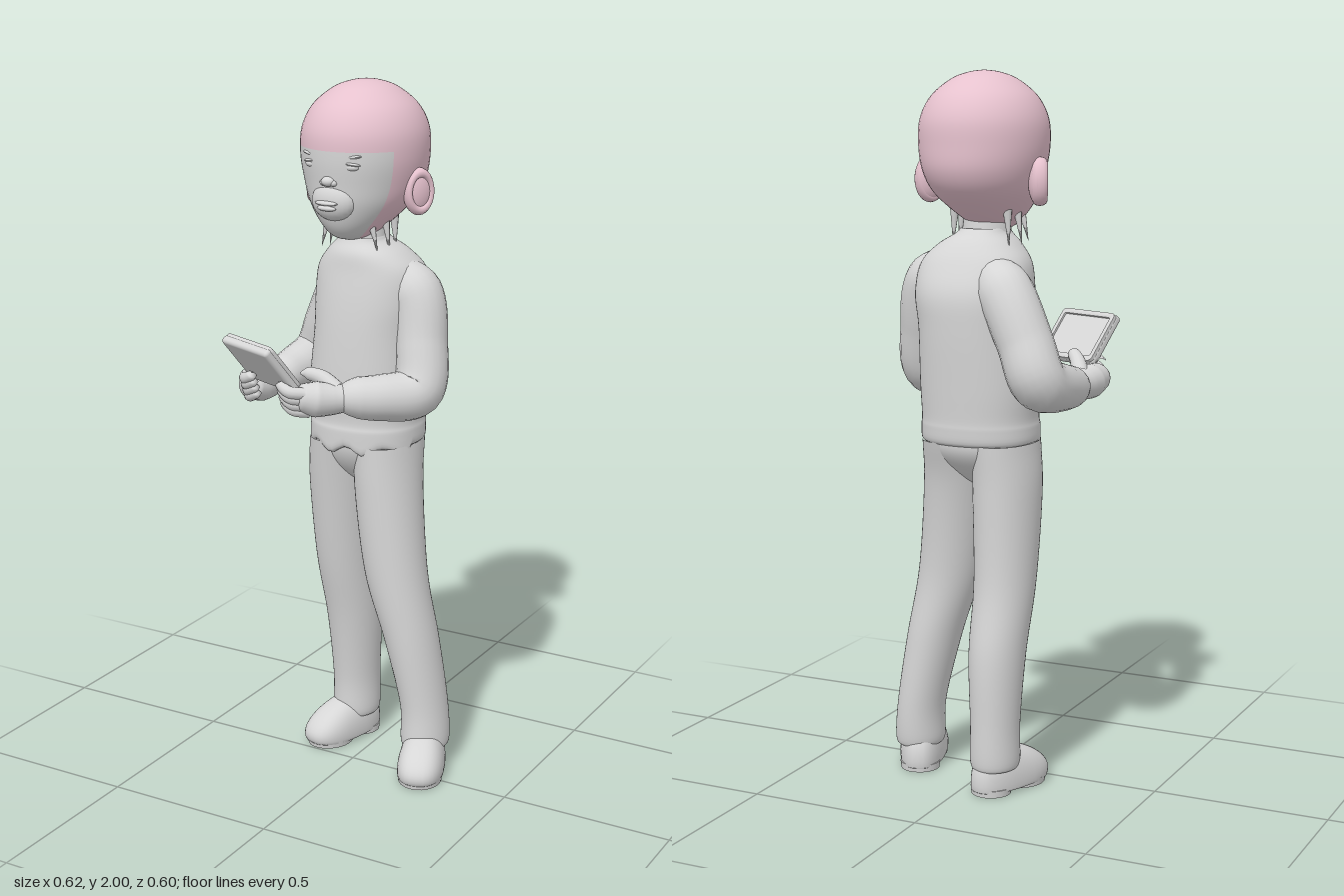
import * as THREE from 'three';
import { mergeVertices, toCreasedNormals } from 'three/addons/utils/BufferGeometryUtils.js';
import { RoundedBoxGeometry } from 'three/addons/geometries/RoundedBoxGeometry.js';

const V = (x, y, z) => new THREE.Vector3(x, y, z);

function material(name, color) {
  const m = new THREE.MeshStandardMaterial({ color });
  m.name = name;
  return m;
}

function add(parent, name, geometry, mat) {
  const mesh = new THREE.Mesh(geometry, mat);
  mesh.name = name;
  parent.add(mesh);
  return mesh;
}

function smooth(g) {
  g.deleteAttribute('uv');
  g.deleteAttribute('normal');
  const merged = mergeVertices(g, 1e-5);
  merged.computeVertexNormals();
  return merged;
}

// Rows run upward: [y, centre x, centre z, radius x, radius z].
// second(y, angle) picks the faces that take the second material.
function loft(rows, steps = 40, sides = 48, power = 1, second = null) {
  const centres = new THREE.CatmullRomCurve3(rows.map(r => V(r[1], r[0], r[2])), false, 'catmullrom', 0.5);
  const radii = new THREE.CatmullRomCurve3(rows.map(r => V(r[3], 0, r[4])), false, 'catmullrom', 0.5);
  const pos = [], lists = [[], []];
  const bend = v => Math.sign(v) * Math.abs(v) ** power;
  for (let i = 0; i <= steps; i++) {
    const c = centres.getPoint(i / steps), r = radii.getPoint(i / steps);
    for (let j = 0; j < sides; j++) {
      const a = j / sides * Math.PI * 2;
      pos.push(c.x + r.x * bend(Math.cos(a)), c.y, c.z + r.z * bend(Math.sin(a)));
      if (i === steps) continue;
      const k = (j + 1) % sides, p = i * sides, q = p + sides;
      const mid = (c.y + centres.getPoint((i + 1) / steps).y) / 2;
      const list = lists[second && second(mid, (j + 0.5) / sides * 360) ? 1 : 0];
      list.push(p + j, q + j, p + k, p + k, q + j, q + k);
    }
  }
  const g = new THREE.BufferGeometry();
  g.setAttribute('position', new THREE.Float32BufferAttribute(pos, 3));
  g.setIndex([...lists[0], ...lists[1]]);
  if (second) {
    g.addGroup(0, lists[0].length, 0);
    g.addGroup(lists[0].length, lists[1].length, 1);
  }
  g.computeVertexNormals();
  return g;
}

// Tapered tube through points [x, y, z, radius]
function limb(points, steps = 32, sides = 20) {
  const curve = new THREE.CatmullRomCurve3(points.map(p => V(p[0], p[1], p[2])));
  const g = new THREE.TubeGeometry(curve, steps, 1, sides);
  const pos = g.attributes.position, v = V(0, 0, 0);
  for (let i = 0; i <= steps; i++) {
    const c = curve.getPointAt(i / steps);
    const t = curve.getUtoTmapping(i / steps) * (points.length - 1);
    const k = Math.min(Math.floor(t), points.length - 2);
    const r = THREE.MathUtils.lerp(points[k][3], points[k + 1][3], t - k);
    for (let j = 0; j <= sides; j++) {
      const n = i * (sides + 1) + j;
      v.fromBufferAttribute(pos, n).sub(c).multiplyScalar(r).add(c);
      pos.setXYZ(n, v.x, v.y, v.z);
    }
  }
  return smooth(g);
}

function blob(parent, name, mat, p, s) {
  const m = add(parent, name, new THREE.SphereGeometry(1, 24, 16), mat);
  m.position.set(...p);
  m.scale.set(...s);
  return m;
}

function roundRect(Type, w, h, r) {
  const s = new Type(), x = w / 2, y = h / 2;
  s.moveTo(-x + r, -y).lineTo(x - r, -y).quadraticCurveTo(x, -y, x, -y + r);
  s.lineTo(x, y - r).quadraticCurveTo(x, y, x - r, y).lineTo(-x + r, y);
  s.quadraticCurveTo(-x, y, -x, y - r).lineTo(-x, -y + r).quadraticCurveTo(-x, -y, -x + r, -y);
  return s;
}

export function createModel() {
  const gray = material('soft gray', 0xd6d6d6), pink = material('dusty pink', 0xe6c2ce);
  const model = new THREE.Group();
  model.name = 'standingChild';

  // Head: pink skull with a gray face set into the front
  const head = new THREE.Group();
  head.name = 'head';
  head.position.set(-0.02, 0, -0.105);
  head.rotation.y = -0.07;
  model.add(head);
  add(head, 'skullAndFace', loft([
    [1.565, 0, 0.05, 0.005, 0.005], [1.575, 0, 0.06, 0.045, 0.06], [1.61, 0, 0.045, 0.088, 0.112],
    [1.67, 0, 0.015, 0.138, 0.162], [1.73, 0, 0, 0.163, 0.184], [1.8, 0, 0, 0.176, 0.19],
    [1.87, 0, 0, 0.172, 0.185], [1.93, 0, 0, 0.143, 0.153], [1.975, 0, 0, 0.09, 0.097],
    [1.994, 0, 0, 0.042, 0.046], [2, 0, 0, 0.001, 0.001],
  ], 60, 48, 1, (y, a) => y < 1.822 && a > 30 && a < 150), [pink, gray]);
  blob(head, 'muzzle', gray, [0, 1.685, 0.155], [0.068, 0.055, 0.042]);
  blob(head, 'upperLip', gray, [0, 1.684, 0.194], [0.036, 0.007, 0.013]);
  blob(head, 'lowerLip', gray, [0, 1.67, 0.192], [0.03, 0.008, 0.013]);
  blob(head, 'nose', gray, [0, 1.742, 0.184], [0.02, 0.014, 0.017]);
  for (const s of [-1, 1]) {
    blob(head, 'nostril', gray, [s * 0.016, 1.738, 0.182], [0.011, 0.009, 0.011]);
    blob(head, 'eye', gray, [s * 0.06, 1.783, 0.164], [0.026, 0.011, 0.015]);
    blob(head, 'eyelid', gray, [s * 0.06, 1.793, 0.163], [0.031, 0.006, 0.018]).rotation.z = -s * 0.12;
    blob(head, 'brow', gray, [s * 0.06, 1.81, 0.164], [0.034, 0.006, 0.014]).rotation.z = s * 0.12;
    // Ears, cupped forward
    const ear = new THREE.Group();
    ear.name = 'ear';
    ear.position.set(s * 0.172, 1.705, -0.002);
    ear.rotation.y = s * (Math.PI / 2 - 0.5);
    head.add(ear);
    blob(ear, 'earBowl', pink, [0, 0, -0.006], [0.044, 0.062, 0.026]);
    add(ear, 'earRim', new THREE.TorusGeometry(0.036, 0.011, 12, 32), pink).scale.set(0.95, 1.4, 1.9);
    // Loose hair ends at the nape
    [[0.08, 0.08], [0.092, 0.03], [0.085, -0.02]].forEach(([x, z], i) => {
      const wisp = add(head, 'hairWisp', new THREE.ConeGeometry(0.014, 0.11, 8), gray);
      wisp.position.set(s * x, 1.588 - i * 0.005, z);
      wisp.rotation.z = Math.PI + s * (0.25 - i * 0.1);
    });
  }
  const neck = add(model, 'neck', new THREE.CylinderGeometry(0.06, 0.075, 0.12, 32), gray);
  neck.position.set(-0.015, 1.57, -0.08);

  // Sweater with a wavy front hem
  const sweater = loft([
    [0.985, -0.005, -0.097, 0.13, 0.11], [0.99, -0.005, -0.097, 0.162, 0.143], [1.03, -0.005, -0.098, 0.165, 0.149],
    [1.06, -0.005, -0.1, 0.162, 0.147], [1.15, -0.005, -0.1, 0.166, 0.153], [1.3, 0, -0.108, 0.16, 0.154],
    [1.4, 0.005, -0.112, 0.165, 0.148], [1.48, 0.005, -0.102, 0.155, 0.125], [1.53, 0, -0.09, 0.115, 0.105],
    [1.56, -0.01, -0.085, 0.075, 0.083], [1.575, -0.012, -0.082, 0.065, 0.072],
  ], 50, 64, 0.9);
  const sp = sweater.attributes.position;
  for (let i = 0; i < sp.count; i++) {
    if (sp.getY(i) < 1.02 && sp.getZ(i) > -0.05) sp.setY(i, sp.getY(i) - 0.012 * (1 - Math.cos(sp.getX(i) * 60)));
  }
  sweater.computeVertexNormals();
  add(model, 'sweater', sweater, gray);

  // Trousers
  add(model, 'trouserSeat', loft([
    [0.86, -0.008, -0.09, 0.01, 0.02], [0.875, -0.008, -0.09, 0.06, 0.06], [0.92, -0.01, -0.095, 0.13, 0.105],
    [0.97, -0.008, -0.1, 0.16, 0.132], [1.03, -0.005, -0.1, 0.155, 0.135],
  ], 24, 48), gray);
  add(model, 'leftTrouserLeg', loft([
    [0.07, 0.203, -0.075, 0.05, 0.06], [0.085, 0.203, -0.075, 0.069, 0.08], [0.2, 0.195, -0.08, 0.067, 0.082],
    [0.4, 0.157, -0.07, 0.077, 0.09], [0.6, 0.11, -0.06, 0.09, 0.095], [0.85, 0.078, -0.072, 0.094, 0.113],
    [0.99, 0.07, -0.092, 0.088, 0.133],
  ]), gray);
  add(model, 'rightTrouserLeg', loft([
    [0.07, -0.088, -0.18, 0.05, 0.06], [0.085, -0.088, -0.18, 0.068, 0.078], [0.2, -0.088, -0.18, 0.068, 0.08],
    [0.4, -0.088, -0.165, 0.078, 0.093], [0.6, -0.095, -0.13, 0.085, 0.1], [0.85, -0.092, -0.108, 0.092, 0.12],
    [0.99, -0.085, -0.1, 0.085, 0.135],
  ]), gray);

  // Shoes: low toe, higher instep, flat sole and separate heel
  for (const [name, x, z, yaw] of [['leftShoe', 0.218, -0.03, 0.35], ['rightShoe', -0.106, -0.128, -0.3]]) {
    const shoe = new THREE.Group();
    shoe.name = name;
    shoe.position.set(x, 0.012, z);
    shoe.rotation.y = yaw;
    model.add(shoe);
    const g = new THREE.SphereGeometry(1, 32, 24), p = g.attributes.position;
    for (let i = 0; i < p.count; i++) {
      const b = v => Math.sign(v) * Math.abs(v) ** 0.8;
      const t = b(p.getZ(i)), top = 0.095 - 0.035 * t;
      p.setXYZ(i, b(p.getX(i)) * (0.067 + 0.007 * t), Math.max(0, p.getY(i) * top + 0.02), t * 0.136);
    }
    add(shoe, 'shoeUpper', smooth(g), gray);
    const heel = add(shoe, 'heel', new THREE.CylinderGeometry(0.058, 0.056, 0.02, 28), gray);
    heel.position.set(0, -0.002, -0.074);
    const sole = add(shoe, 'sole', new THREE.CylinderGeometry(0.066, 0.063, 0.02, 28), gray);
    sole.position.set(0, -0.002, 0.053);
    sole.scale.z = 1.15;
  }

  // Sleeves, bent at the elbow
  add(model, 'leftSleeve', limb([
    [0.06, 1.465, -0.09, 0.06], [0.145, 1.425, -0.09, 0.077], [0.182, 1.29, -0.065, 0.073], [0.192, 1.165, -0.02, 0.074],
    [0.12, 1.155, 0.07, 0.064], [0.075, 1.158, 0.108, 0.058], [0.05, 1.158, 0.128, 0.046], [0.035, 1.158, 0.14, 0.03],
  ], 48), gray);
  add(model, 'rightSleeve', limb([
    [-0.04, 1.46, -0.13, 0.06], [-0.115, 1.41, -0.18, 0.08], [-0.19, 1.28, -0.208, 0.077], [-0.232, 1.18, -0.214, 0.078],
    [-0.25, 1.15, -0.11, 0.066], [-0.254, 1.143, -0.04, 0.057], [-0.256, 1.142, -0.015, 0.046], [-0.256, 1.142, 0.005, 0.03],
  ], 48), gray);

  // Hands: palm tube, four curled fingers, thumb
  const hands = [
    ['leftHand', [[0.06, 1.158, 0.12, 0.035], [0.02, 1.157, 0.15, 0.044], [-0.015, 1.16, 0.183, 0.05], [-0.045, 1.168, 0.21, 0.038], [-0.062, 1.17, 0.222, 0.002]],
      [-0.025, 0.195], [-0.1, 0.205], [[0.03, 1.18, 0.14, 0.025], [-0.02, 1.208, 0.135, 0.022], [-0.06, 1.218, 0.145, 0.018], [-0.08, 1.218, 0.155, 0.002]]],
    ['rightHand', [[-0.255, 1.142, -0.03, 0.035], [-0.258, 1.14, 0.03, 0.044], [-0.26, 1.143, 0.075, 0.049], [-0.265, 1.15, 0.12, 0.04], [-0.262, 1.155, 0.15, 0.002]],
      [-0.27, 0.11], [-0.215, 0.165], [[-0.25, 1.165, 0.03, 0.025], [-0.225, 1.195, 0.07, 0.022], [-0.2, 1.213, 0.1, 0.018], [-0.19, 1.218, 0.115, 0.002]]],
  ];
  for (const [name, palm, from, to, thumb] of hands) {
    const hand = new THREE.Group();
    hand.name = name;
    model.add(hand);
    add(hand, 'palm', limb(palm), gray);
    add(hand, 'thumb', limb(thumb, 20, 14), gray);
    for (let i = 0; i < 4; i++) {
      const y = 1.125 + i * 0.019, dz = i * 0.008;
      add(hand, 'finger', limb([
        [from[0], y, from[1] + dz, 0.017], [(from[0] + to[0]) / 2, y + 0.006, (from[1] + to[1]) / 2 + dz + 0.018, 0.017],
        [to[0], y + 0.022, to[1] + dz, 0.014], [to[0], y + 0.028, to[1] + dz, 0.002],
      ], 16, 12), gray);
    }
  }

  // Handheld tablet, tilted back with a slim raised rim around the screen
  const tablet = new THREE.Group();
  tablet.name = 'tablet';
  tablet.position.set(-0.172, 1.245, 0.212);
  tablet.rotation.set(0.68, -0.39, 0, 'YXZ');
  model.add(tablet);
  add(tablet, 'tabletBack', new RoundedBoxGeometry(0.212, 0.165, 0.026, 4, 0.01), gray);
  const rimShape = roundRect(THREE.Shape, 0.206, 0.159, 0.014);
  rimShape.holes.push(roundRect(THREE.Path, 0.186, 0.134, 0.008));
  const rimGeometry = new THREE.ExtrudeGeometry(rimShape, {
    depth: 0.008, bevelSize: 0.002, bevelThickness: 0.002, bevelSegments: 2, curveSegments: 6,
  });
  add(tablet, 'tabletRim', toCreasedNormals(rimGeometry, 0.6), gray).position.z = -0.017;
  return model;
}
